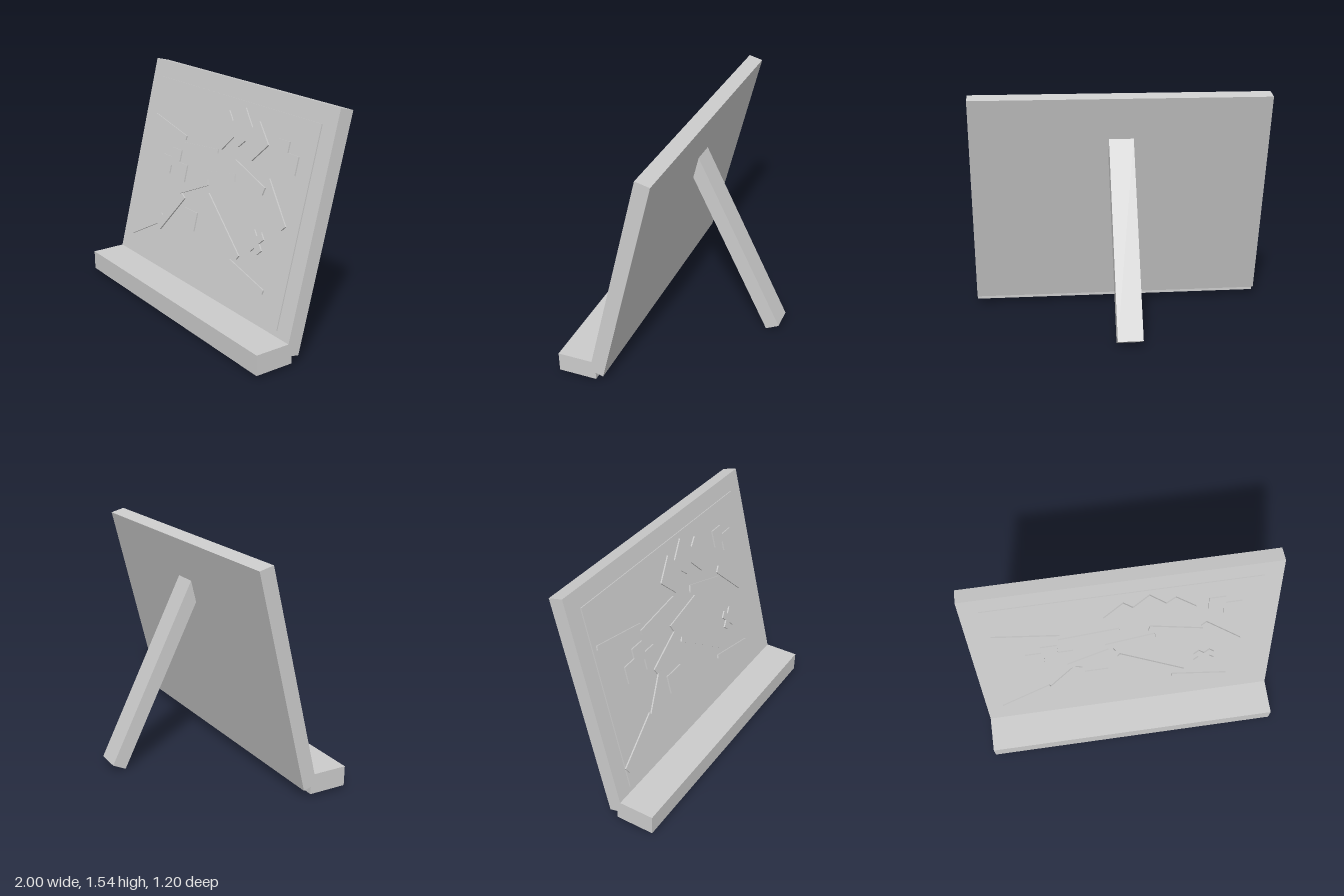
import * as THREE from 'three';

const TILT = 0.25;              // backward lean of the board
const BOARD_Y = 0.8025, BOARD_Z = 0.15;
const THICK = 0.098, PANEL = 0.008, RELIEF = 0.01;

export function createModel() {
  const model = new THREE.Group();
  model.name = 'easelBoard';
  const mat = new THREE.MeshStandardMaterial({ color: 0xcccccc, flatShading: true });

  const add = (parent, name, geometry, x, y, z) => {
    const mesh = new THREE.Mesh(geometry, mat);
    mesh.name = name;
    mesh.position.set(x, y, z);
    parent.add(mesh);
    return mesh;
  };

  // Leaning board with a thin raised panel
  const board = new THREE.Group();
  board.name = 'board';
  board.position.set(0, BOARD_Y, BOARD_Z);
  board.rotation.x = -TILT;
  model.add(board);
  add(board, 'backBoard', new THREE.BoxGeometry(2, 1.5, THICK), 0, 0, 0);
  add(board, 'facePanel', new THREE.BoxGeometry(1.76, 1.27, PANEL), 0, -0.002, THICK / 2 + PANEL / 2);

  // Raised relief pieces: outlines are upright heights, stretched onto the slope
  const faceZ = THICK / 2 + PANEL;
  const lift = BOARD_Y + (faceZ + RELIEF) * Math.sin(TILT);
  const relief = (name, points) => {
    const shape = new THREE.Shape(points.map(([x, y]) =>
      new THREE.Vector2(x, (y - lift) / Math.cos(TILT))));
    const geometry = new THREE.ExtrudeGeometry(shape, { depth: RELIEF, bevelEnabled: false });
    add(board, name, geometry, 0, 0, faceZ);
  };

  // Straight strips: start, end, width
  const strips = [
    [-0.847, 1.16, -0.421, 1.083, 0.027],
    [-0.43, 1.038, -0.035, 1.075, 0.027],
    [0.158, 1.043, 0.505, 0.944, 0.05],
    [0.516, 1.016, 0.754, 0.783, 0.05],
    [-0.05, 0.784, 0.388, 0.495, 0.031],
    [0.31, 0.449, 0.693, 0.374, 0.028],
  ];
  for (const [x0, y0, x1, y1, w] of strips) {
    const len = Math.hypot(x1 - x0, y1 - y0);
    const nx = -(y1 - y0) / len * w / 2, ny = (x1 - x0) / len * w / 2;
    relief('strip', [[x0 + nx, y0 + ny], [x0 - nx, y0 - ny], [x1 - nx, y1 - ny], [x1 + nx, y1 + ny]]);
  }

  // Bent strips
  relief('steppedStrip', [[-0.395, 0.755], [-0.11, 0.872], [-0.135, 0.925], [0.193, 0.98],
    [0.203, 0.93], [-0.085, 0.877], [-0.07, 0.84], [-0.373, 0.71]]);
  relief('bentStrip', [[-0.888, 0.342], [-0.54, 0.53], [-0.53, 0.513], [-0.353, 0.722],
    [-0.3, 0.695], [-0.524, 0.417], [-0.567, 0.449], [-0.86, 0.294]]);

  // Block-shaped pieces
  relief('zigzagPatch', [[-0.13, 1.22], [0, 1.35], [0.06, 1.29], [0.165, 1.395], [0.27, 1.29],
    [0.33, 1.34], [0.46, 1.22], [0.33, 1.095], [0.23, 1.2], [0.165, 1.145], [0.105, 1.2], [0, 1.095]]);
  relief('rightStepPatch', [[0.54, 1.28], [0.65, 1.28], [0.65, 1.215], [0.755, 1.215],
    [0.755, 1.1], [0.64, 1.1], [0.64, 1.165], [0.54, 1.165]]);
  relief('leftStepPatch', [[-0.66, 0.925], [-0.555, 0.925], [-0.555, 0.99], [-0.445, 0.99],
    [-0.445, 0.91], [-0.345, 0.91], [-0.345, 0.795], [-0.46, 0.795], [-0.46, 0.87],
    [-0.54, 0.87], [-0.54, 0.81], [-0.66, 0.81]]);
  relief('squarePatch', [[-0.285, 0.515], [-0.125, 0.515], [-0.125, 0.64], [-0.285, 0.64]]);

  // Diagonal cross, one arm repeated four times
  const cross = [];
  for (let i = 0; i < 4; i++) {
    const a = Math.PI / 4 + i * Math.PI / 2, c = Math.cos(a), s = Math.sin(a);
    for (const [u, v] of [[0.025, -0.025], [0.075, -0.025], [0.075, 0.025]])
      cross.push([0.53 + u * c - v * s, 0.637 + u * s + v * c]);
  }
  relief('crossMark', cross);

  // Ledge along the front foot of the board
  add(model, 'frontLedge', new THREE.BoxGeometry(2, 0.133, 0.26), 0, 0.0935, 0.47);

  // Rear prop leg, its upper end buried in the board
  const angle = 0.458, legLength = 1.332, legDepth = 0.1;
  const sin = Math.sin(angle), cos = Math.cos(angle);
  const leg = add(model, 'rearLeg', new THREE.BoxGeometry(0.165, legLength, legDepth), 0,
    0.05 + cos * legLength / 2 - sin * legDepth / 2,
    -0.6 + sin * legLength / 2 + cos * legDepth / 2);
  leg.rotation.x = angle;

  return model;
}
